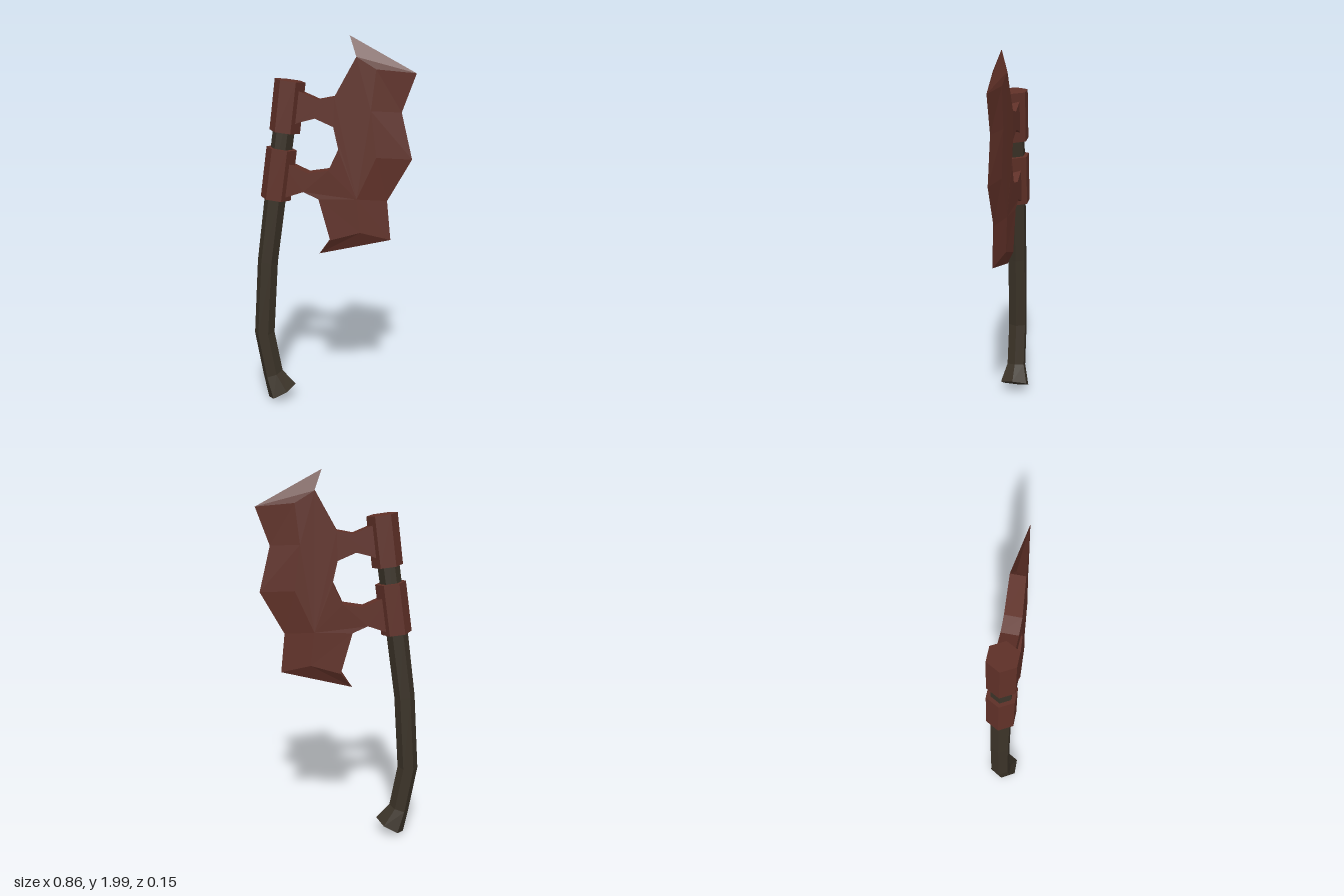
import * as THREE from 'three';

const SIDES = 6;

function meshFrom(name, tris, material) {
  const geo = new THREE.BufferGeometry();
  geo.setAttribute('position', new THREE.Float32BufferAttribute(tris.flat(), 3));
  geo.computeVertexNormals(); // unshared corners give flat facets
  const mesh = new THREE.Mesh(geo, material);
  mesh.name = name;
  return mesh;
}

// Six-sided capped loft; each ring is [x, y, radius, tilt in the xy plane]
function hexLoft(name, rings, material) {
  const tris = [];
  const corner = ([x, y, r, a], j) => {
    const t = (j / SIDES) * Math.PI * 2;
    const u = r * Math.cos(t);
    return [x + u * Math.cos(a), y + u * Math.sin(a), r * Math.sin(t)];
  };
  const first = rings[0], last = rings[rings.length - 1];
  for (let j = 0; j < SIDES; j++) {
    for (let i = 0; i < rings.length - 1; i++) {
      const a = corner(rings[i], j + 1), b = corner(rings[i], j);
      const c = corner(rings[i + 1], j), d = corner(rings[i + 1], j + 1);
      tris.push(a, b, c, a, c, d);
    }
    tris.push([first[0], first[1], 0], corner(first, j), corner(first, j + 1));
    tris.push([last[0], last[1], 0], corner(last, j + 1), corner(last, j));
  }
  return meshFrom(name, tris, material);
}

// Blade with two arms: flat cheeks, a ridge line and a sharp outer edge
function buildBlade(material) {
  // back outline, bottom to top, including both arms
  const inner = [
    [-0.008, 0.937], [-0.07, 1.158], [-0.15, 1.195], [-0.27, 1.155],
    [-0.27, 1.36], [-0.219, 1.338], [-0.124, 1.295], [-0.018, 1.311],
    [0.034, 1.422], [0.008, 1.538], [-0.087, 1.58], [-0.166, 1.56], [-0.23, 1.535],
    [-0.23, 1.745], [-0.17, 1.718], [-0.07, 1.675], [0.013, 1.691], [0.124, 1.892],
  ];
  // ridge where the bevel starts, top to bottom
  const ridge = [[0.225, 1.83], [0.2, 1.62], [0.23, 1.38], [0.13, 1.16], [0.15, 0.98]];
  // sharp edge, top to bottom
  const edge = [
    [0.087, 1.997], [0.428, 1.81], [0.356, 1.612], [0.414, 1.37],
    [0.288, 1.148], [0.309, 0.937], [-0.07, 0.852],
  ].map(([x, y]) => [x, y, 0]);

  const thickness = (x) => 0.043 - 0.013 * THREE.MathUtils.clamp((x - 0.03) / 0.2, 0, 1);
  const front = ([x, y]) => [x, y, thickness(x)];
  const back = ([x, y, z]) => [x, y, -z];
  const tris = [];
  const both = (a, b, c) => tris.push(a, b, c, back(a), back(c), back(b));

  // cheeks
  const outline = [...inner, ...ridge];
  const flat = outline.map(([x, y]) => new THREE.Vector2(x, y));
  for (const face of THREE.ShapeUtils.triangulateShape(flat, [])) {
    let [a, b, c] = face;
    const area = flat[b].clone().sub(flat[a]).cross(flat[c].clone().sub(flat[a]));
    if (area < 0) [b, c] = [c, b];
    both(front(outline[a]), front(outline[b]), front(outline[c]));
  }

  // bevels
  const rim = [inner[inner.length - 1], ...ridge, inner[0]].map(front);
  for (let i = 0; i < edge.length - 1; i++) {
    both(rim[i], rim[i + 1], edge[i + 1]);
    both(rim[i], edge[i + 1], edge[i]);
  }

  // walls along the back outline, closing to a point at each horn
  for (let i = 0; i < inner.length - 1; i++) {
    const a = front(inner[i]), b = front(inner[i + 1]);
    tris.push(back(a), a, b, back(a), b, back(b));
  }
  const top = rim[0], bottom = rim[rim.length - 1];
  tris.push(back(top), top, edge[0]);
  tris.push(edge[edge.length - 1], bottom, back(bottom));
  return meshFrom('blade', tris, material);
}

export function createModel() {
  const rust = new THREE.MeshStandardMaterial({ color: 0x5f3027 });
  rust.name = 'rusty red metal';
  const wood = new THREE.MeshStandardMaterial({ color: 0x3a3227 });
  wood.name = 'dark wood';

  const group = new THREE.Group();
  group.name = 'axe';

  // bent handle with a flared foot
  group.add(hexLoft('handle', [
    [-0.284, 0.046, 0.087, 0.51],
    [-0.334, 0.148, 0.056, 0.34],
    [-0.378, 0.39, 0.055, 0.06],
    [-0.353, 0.8, 0.055, -0.08],
    [-0.307, 1.15, 0.057, -0.135],
    [-0.222, 1.75, 0.058, -0.135],
  ], wood));

  // two collars gripping the handle
  const tilt = -0.135;
  group.add(hexLoft('lowerCollar', [[-0.304, 1.15, 0.081, tilt], [-0.268, 1.418, 0.081, tilt]], rust));
  group.add(hexLoft('upperCollar', [[-0.251, 1.506, 0.081, tilt], [-0.219, 1.77, 0.081, tilt]], rust));

  group.add(buildBlade(rust));
  return group;
}
